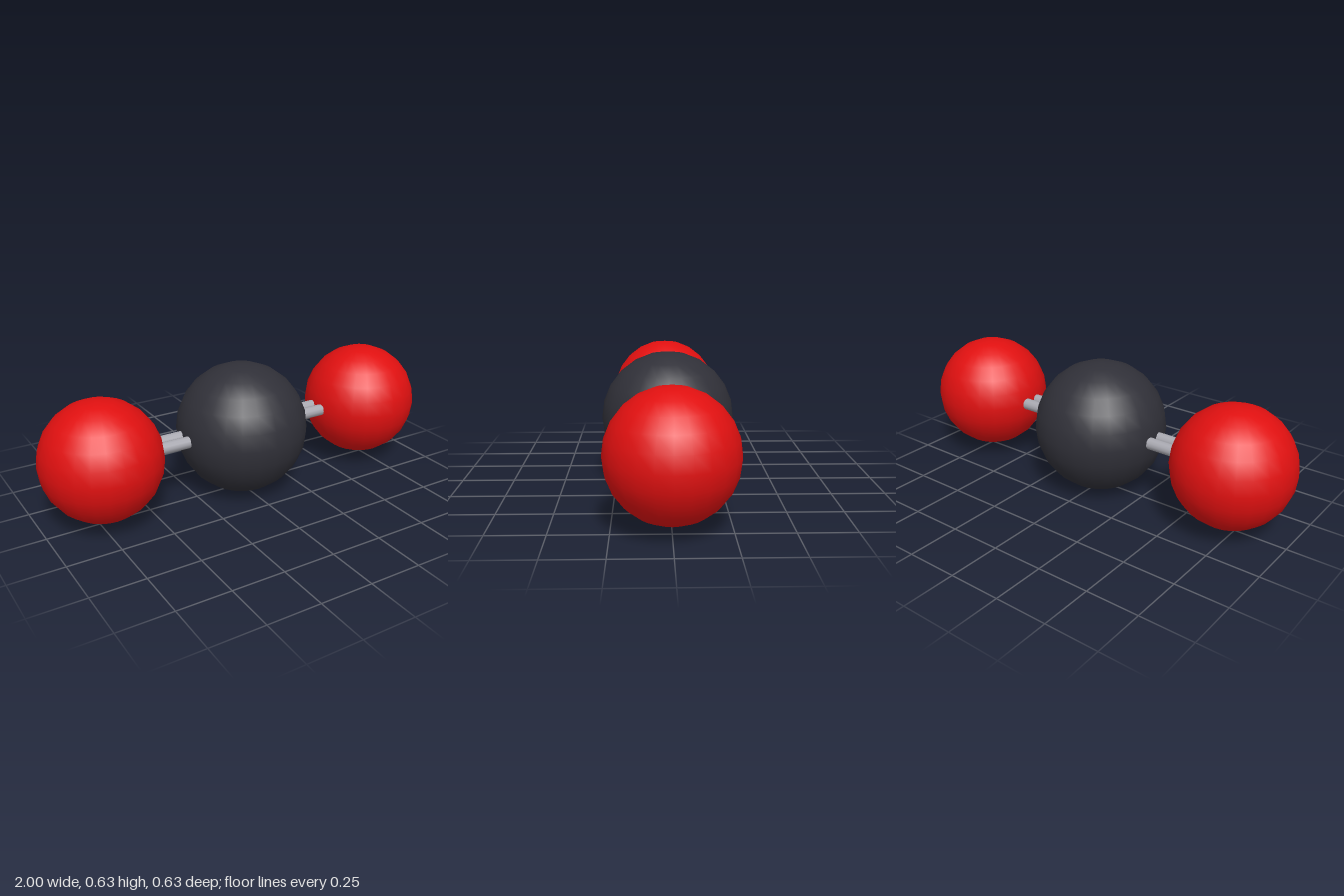
import * as THREE from 'three';

const CENTRE_Y = 0.316;  // height of the molecule's axis
const OXYGEN_X = 0.72;   // distance of each outer atom from the middle
const BOND_R = 0.028;
const BOND_Z = 0.035;    // half the spacing of a double bond

function material(name, color) {
  const m = new THREE.MeshStandardMaterial({ color });
  m.name = name;
  return m;
}

export function createModel() {
  const group = new THREE.Group();
  group.name = 'molecule';
  const charcoal = material('charcoal', 0x303038);
  const red = material('red', 0xe01010);
  const grey = material('grey', 0xa8a8b0);

  const add = (name, geometry, mat, x, z = 0) => {
    const mesh = new THREE.Mesh(geometry, mat);
    mesh.name = name;
    mesh.position.set(x, CENTRE_Y, z);
    group.add(mesh);
  };

  // Central atom
  add('carbonAtom', new THREE.SphereGeometry(0.315, 24, 12), charcoal, 0);

  // Outer atoms, each held by a pair of parallel rods
  const oxygen = new THREE.SphereGeometry(0.28, 24, 12);
  const rod = new THREE.CylinderGeometry(BOND_R, BOND_R, OXYGEN_X, 12).rotateZ(Math.PI / 2);
  for (const [side, s] of [['left', 1], ['right', -1]]) {
    add(side + 'OxygenAtom', oxygen, red, s * OXYGEN_X);
    add(side + 'FrontBond', rod, grey, s * OXYGEN_X / 2, BOND_Z);
    add(side + 'BackBond', rod, grey, s * OXYGEN_X / 2, -BOND_Z);
  }
  return group;
}
